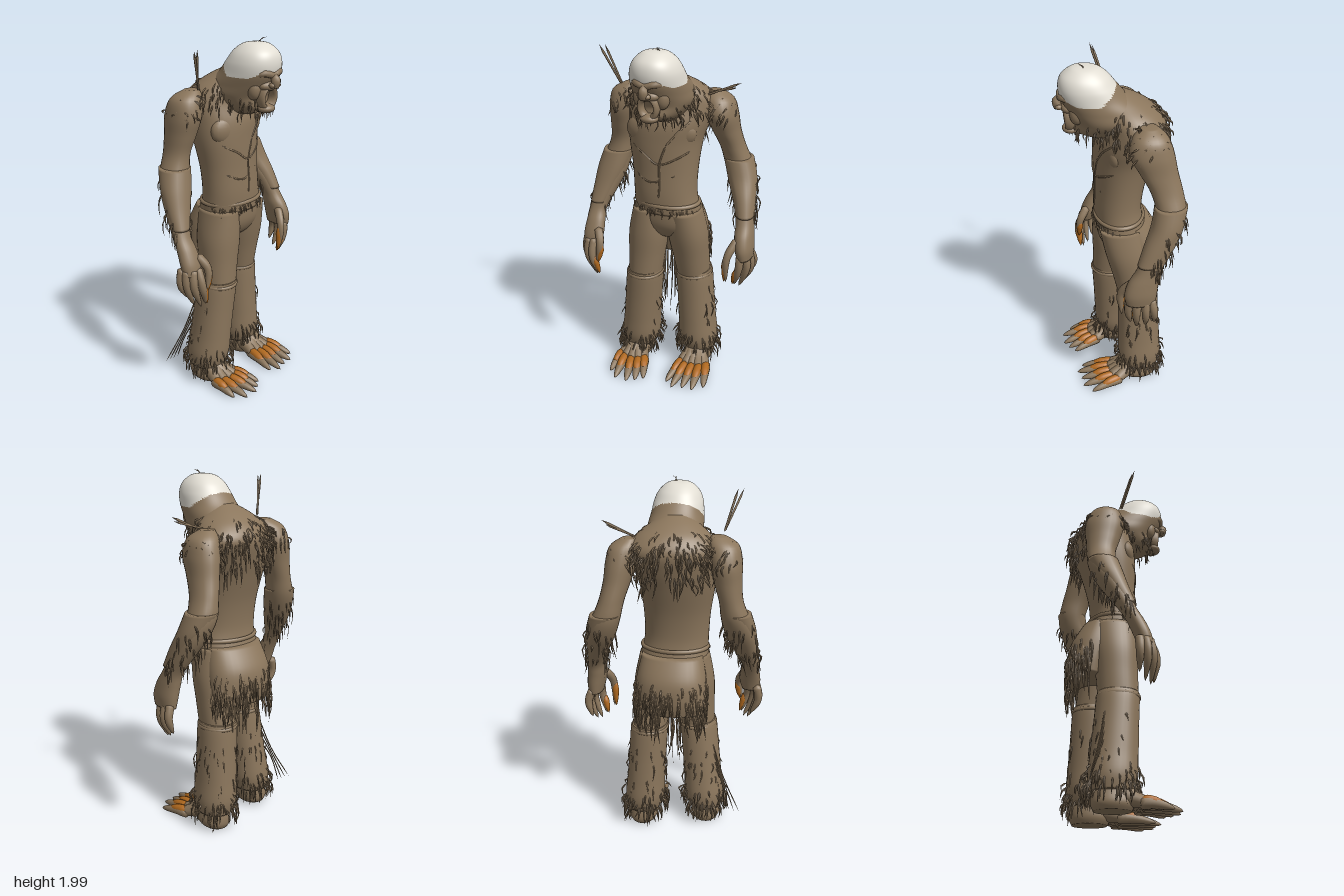
import * as THREE from 'three';
import { mergeGeometries } from 'three/addons/utils/BufferGeometryUtils.js';

const V = (x, y, z) => new THREE.Vector3(x, y, z);
const { PI } = Math, TAU = PI * 2;

// closed skin through rows of rings
function skin(rows, cols, point) {
  const pos = [], idx = [];
  for (let j = 0; j <= rows; j++) {
    for (let i = 0; i < cols; i++) {
      pos.push(...point(j, (i / cols) * TAU).toArray());
      const a = j * cols + i, c = j * cols + (i + 1) % cols;
      if (j < rows) idx.push(a, c, a + cols, c, c + cols, a + cols);
    }
  }
  const g = new THREE.BufferGeometry();
  g.setAttribute('position', new THREE.Float32BufferAttribute(pos, 3));
  g.setIndex(idx);
  g.computeVertexNormals();
  return g;
}

// point on a body form; sections run top to bottom as [x, y, z, rx, rz, twist]
function surface(S, t, a) {
  const f = t * (S.length - 1), k = Math.min(Math.floor(f), S.length - 2), u = f - k;
  const at = (i, c) => S[Math.max(0, Math.min(S.length - 1, i))][c] || 0;
  const [x, y, z, rx, rz, w] = [0, 1, 2, 3, 4, 5].map((c) => {
    const p0 = at(k - 1, c), p1 = at(k, c), p2 = at(k + 1, c), p3 = at(k + 2, c);
    return p1 + 0.5 * u * (p2 - p0 + u * (2 * p0 - 5 * p1 + 4 * p2 - p3 + u * (3 * (p1 - p2) + p3 - p0)));
  });
  const round = (v) => Math.sign(v) * Math.abs(v) ** 0.93;
  const px = Math.max(0, rx) * round(Math.cos(a)), pz = Math.max(0, rz) * round(Math.sin(a));
  return V(x + px * Math.cos(w) + pz * Math.sin(w), y, z - px * Math.sin(w) + pz * Math.cos(w));
}

// body form with closed ends
function loft(S, cols = 32, steps = 6) {
  const rows = (S.length - 1) * steps;
  return skin(rows + 2, cols, (j, a) => {
    if (j === 0) return V(...S[0].slice(0, 3));
    if (j === rows + 2) return V(...S.at(-1).slice(0, 3));
    return surface(S, (j - 1) / rows, a);
  });
}

// tapered tube through points
function limb(points, radii, cols = 10, rows = 12) {
  const curve = new THREE.CatmullRomCurve3(points.map((p) => V(...p)));
  const { normals, binormals } = curve.computeFrenetFrames(rows);
  return skin(rows, cols, (j, a) => {
    const f = (j / rows) * (radii.length - 1), k = Math.min(Math.floor(f), radii.length - 2);
    const r = j === 0 || j === rows ? 0 : THREE.MathUtils.lerp(radii[k], radii[k + 1], f - k);
    return curve.getPoint(j / rows).addScaledVector(normals[j], r * Math.cos(a)).addScaledVector(binormals[j], r * Math.sin(a));
  });
}

let seed = 7;
const rand = () => (seed = (seed * 16807) % 2147483647) / 2147483647;
const range = (a, b) => a + (b - a) * rand();

// drooping hair strands scattered over a body form
function fur(S, n, [t0, t1], [a0, a1], length, flare, r = 0.004) {
  return mergeGeometries(Array.from({ length: n }, () => {
    const p = surface(S, range(t0, t1), range(a0, a1)), core = S[Math.floor(S.length / 2)];
    const d = V(p.x - core[0], 0, p.z - core[2]).normalize();
    const len = length * range(0.4, 1.2), f = flare * range(0.3, 1.2), side = range(-0.01, 0.01);
    const m = p.clone().addScaledVector(d, f).add(V(side, -len * 0.4, 0));
    const e = p.clone().addScaledVector(d, f * 1.1).add(V(-side, -len, side));
    e.y = Math.max(e.y, 0.02);
    m.y = Math.max(m.y, 0.03);
    return limb([p.addScaledVector(d, -0.005).toArray(), m.toArray(), e.toArray()], [r, r, r * 0.3], 4, 4);
  }));
}

const TORSO = [[0, 1.83, 0.02, 0.06, 0.06, 0.1], [0, 1.785, -0.02, 0.13, 0.11, 0.2], [0, 1.73, -0.055, 0.2, 0.15, 0.22],
  [0, 1.66, -0.075, 0.24, 0.165, 0.22], [-0.01, 1.56, -0.05, 0.225, 0.17, 0.2], [-0.02, 1.45, -0.03, 0.205, 0.155, 0.2],
  [-0.015, 1.3, -0.01, 0.185, 0.135, 0.15], [-0.01, 1.16, 0, 0.18, 0.13, 0.1], [0, 1.05, -0.01, 0.19, 0.135, 0.05]];
const HEAD = [[0.01, 1.977, 0.18, 0.02, 0.02], [0.01, 1.967, 0.17, 0.065, 0.07], [0.01, 1.93, 0.167, 0.108, 0.12],
  [0.01, 1.88, 0.155, 0.132, 0.148], [0.01, 1.82, 0.125, 0.142, 0.17], [0.01, 1.76, 0.07, 0.15, 0.195],
  [0.01, 1.7, 0.03, 0.152, 0.2], [0.01, 1.64, 0.03, 0.115, 0.2], [0.01, 1.6, 0, 0.08, 0.15]];
const PELVIS = [[0, 1.1, -0.01, 0.183, 0.133], [0, 0.98, -0.03, 0.195, 0.145], [0, 0.9, -0.06, 0.15, 0.13], [0, 0.85, -0.09, 0.06, 0.08]];
const SKIRT = [[0, 1.07, -0.08, 0.17, 0.1], [0, 0.95, -0.11, 0.195, 0.135], [0, 0.84, -0.135, 0.2, 0.12], [0, 0.75, -0.14, 0.19, 0.1]];

// leg sections as [y, rx, rz], strung between hip, knee and ankle
const THIGH = [[1.06, 0.095, 0.125], [0.9, 0.113, 0.125], [0.75, 0.105, 0.115], [0.6, 0.095, 0.11]];
const GAITER = [[0.645, 0.1, 0.112], [0.6, 0.107, 0.117], [0.45, 0.108, 0.12], [0.3, 0.11, 0.125], [0.18, 0.115, 0.128], [0.1, 0.1, 0.11]];
const HEEL = [[0, 0.17, 0, 0.07, 0.08], [0, 0.1, 0, 0.08, 0.1], [0.005, 0.04, 0.005, 0.085, 0.11], [0.005, 0.005, 0.005, 0.07, 0.095]];
const between = (rings, [x0, z0], [x1, z1]) => rings.map(([y, rx, rz]) => {
  const k = (rings[0][0] - y) / (rings[0][0] - rings.at(-1)[0]);
  return [x0 + (x1 - x0) * k, y, z0 + (z1 - z0) * k, rx, rz];
});

// the right side steps forward, the left side is held back
const SIDES = {
  right: {
    arm: [[-0.24, 1.735, -0.05, 0.04, 0.04], [-0.27, 1.69, -0.06, 0.08, 0.085], [-0.286, 1.6, -0.07, 0.085, 0.11], [-0.3, 1.5, -0.08, 0.075, 0.095],
      [-0.32, 1.4, -0.09, 0.065, 0.08], [-0.345, 1.3, -0.08, 0.078, 0.08], [-0.37, 1.2, -0.045, 0.082, 0.075], [-0.395, 1.1, 0, 0.068, 0.06],
      [-0.42, 1, 0.05, 0.05, 0.045], [-0.42, 0.93, 0.09, 0.055, 0.045], [-0.42, 0.86, 0.12, 0.06, 0.045], [-0.425, 0.8, 0.135, 0.05, 0.04]],
    fingers: [[[-0.385, 0.9, 0.13], [-0.35, 0.82, 0.18], [-0.37, 0.7, 0.19]], [[-0.4, 0.84, 0.15], [-0.4, 0.74, 0.19], [-0.37, 0.62, 0.18]],
      [[-0.43, 0.84, 0.15], [-0.44, 0.74, 0.17], [-0.385, 0.6, 0.16]], [[-0.455, 0.84, 0.13], [-0.465, 0.74, 0.14], [-0.41, 0.61, 0.13]],
      [[-0.46, 0.84, 0.1], [-0.475, 0.75, 0.1], [-0.43, 0.65, 0.1]]],
    hip: [-0.1, 0], knee: [-0.135, 0.02], ankle: [-0.19, -0.02],
    toes: [[-0.255, 0.12, -0.255, 0.285], [-0.22, 0.14, -0.2, 0.335], [-0.175, 0.15, -0.125, 0.335], [-0.135, 0.14, -0.08, 0.305], [-0.11, 0.11, -0.04, 0.27]],
  },
  left: {
    arm: [[0.22, 1.725, -0.13, 0.04, 0.04], [0.248, 1.68, -0.13, 0.075, 0.09], [0.263, 1.6, -0.135, 0.083, 0.115], [0.28, 1.5, -0.17, 0.073, 0.1],
      [0.305, 1.4, -0.21, 0.068, 0.085], [0.335, 1.3, -0.23, 0.078, 0.08], [0.37, 1.2, -0.205, 0.078, 0.08], [0.405, 1.1, -0.155, 0.062, 0.075],
      [0.43, 1, -0.105, 0.05, 0.065], [0.44, 0.93, -0.075, 0.052, 0.08], [0.45, 0.86, -0.06, 0.05, 0.088], [0.455, 0.8, -0.06, 0.04, 0.08]],
    fingers: [[[0.42, 0.92, -0.03], [0.38, 0.82, 0.035], [0.375, 0.66, 0.03]], [[0.445, 0.83, -0.005], [0.44, 0.74, 0.005], [0.41, 0.63, -0.015]],
      [[0.46, 0.83, -0.045], [0.475, 0.74, -0.035], [0.43, 0.61, -0.045]], [[0.465, 0.83, -0.085], [0.485, 0.74, -0.085], [0.445, 0.63, -0.09]],
      [[0.46, 0.83, -0.115], [0.485, 0.75, -0.13], [0.46, 0.66, -0.135]]],
    hip: [0.1, -0.01], knee: [0.13, -0.1], ankle: [0.165, -0.115],
    toes: [[0.12, 0.04, 0.095, 0.24], [0.155, 0.06, 0.145, 0.275], [0.195, 0.06, 0.205, 0.255], [0.235, 0.05, 0.265, 0.25], [0.265, 0.02, 0.32, 0.2]],
  },
};

export function createModel() {
  const mat = (name, color) => new THREE.MeshStandardMaterial({ name, color });
  const hide = mat('brown hide', 0x8b765c), bone = mat('pale cap', 0xe2ded4), orange = mat('orange skin', 0xb0691f);
  const root = new THREE.Group();
  const add = (name, geo, m = hide, parent = root) => {
    const mesh = new THREE.Mesh(geo, m);
    mesh.name = name;
    parent.add(mesh);
  };
  const ball = (name, p, s) => add(name, new THREE.SphereGeometry(1, 20, 14).scale(...s).translate(...p));
  const hoop = (name, rx, ry, rz, p, parent) => add(name, new THREE.TorusGeometry(1, 0.07, 8, 48).rotateX(PI / 2).scale(rx, ry, rz).translate(...p), hide, parent);

  // head, with the pale cap as its own faces
  const head = loft(HEAD, 64, 10), pos = head.attributes.position, faces = [[], []];
  for (let i = 0, x = head.index.array; i < x.length; i += 3) {
    const tri = [...x.slice(i, i + 3)];
    const y = tri.reduce((s, k) => s + pos.getY(k) / 3, 0), z = tri.reduce((s, k) => s + pos.getZ(k) / 3, 0);
    faces[y > 1.808 + Math.max(0, z - 0.22) * 0.4 + Math.max(0, 0.1 - z) * 0.85 ? 1 : 0].push(...tri);
  }
  head.setIndex(faces.flat());
  head.addGroup(0, faces[0].length, 0);
  head.addGroup(faces[0].length, faces[1].length, 1);
  add('head', head, [hide, bone]);

  // open-mouthed face
  add('brow', limb([[-0.085, 1.815, 0.225], [-0.04, 1.835, 0.283], [0.01, 1.82, 0.295], [0.06, 1.835, 0.283], [0.105, 1.815, 0.225]], [0.012, 0.02, 0.016, 0.02, 0.012]));
  add('nose', limb([[0.01, 1.83, 0.28], [0.01, 1.795, 0.31], [0.01, 1.76, 0.3]], [0.014, 0.026, 0.024]));
  add('lips', new THREE.TorusGeometry(0.045, 0.015, 10, 28).scale(1, 1.25, 2).rotateX(0.1).translate(0.01, 1.705, 0.25));
  ball('upperLip', [0.01, 1.765, 0.255], [0.06, 0.03, 0.04]);
  ball('chin', [0.01, 1.645, 0.245], [0.05, 0.025, 0.045]);
  for (const s of [-1, 1]) {
    ball('cheek', [0.01 + s * 0.06, 1.75, 0.215], [0.04, 0.06, 0.04]);
    ball('nostril', [0.01 + s * 0.02, 1.772, 0.303], [0.016, 0.014, 0.018]);
    ball('pectoral', [s * 0.095 - 0.015, 1.52, 0.047 - s * 0.02], [0.1, 0.085, 0.05]);
  }
  add('beard', fur(HEAD, 60, [0.74, 0.92], [0, PI], 0.07, 0.015));
  for (const x of [0.02, 0.03, 0.045]) add('crownHair', limb([[x, 1.97, 0.17], [0.03, 1.985, 0.18], [x + 0.01, 1.999, 0.2]], [0.003, 0.002, 0.001], 4, 4));

  // torso and clothing seams
  add('torso', loft(TORSO, 40));
  const seam = (name, pts) => add(name, limb(pts.map(([t, a]) => surface(TORSO, t, a).toArray()), [0.005, 0.005], 6, 20));
  seam('placket', [[0.62, 1.45], [0.71, 1.57], [0.81, 1.55], [0.88, 1.57]]);
  seam('leftLapel', [[0.46, 0.95], [0.53, 1.2], [0.62, 1.45]]);
  seam('ribFold', [[0.63, 2.5], [0.67, 2], [0.71, 1.6], [0.68, 1.1], [0.65, 0.7]]);
  seam('waistFold', [[0.77, 2.4], [0.8, 1.8], [0.76, 1.1]]);
  hoop('belt', 0.184, 0.18, 0.136, [-0.002, 1.1, -0.008]);
  add('beltFringe', fur(TORSO, 40, [0.94, 0.96], [0.2, PI - 0.2], 0.05, 0.01));
  add('shoulderMane', fur(TORSO, 190, [0.16, 0.42], [0, TAU], 0.08, 0.035, 0.005));
  add('backMane', fur(TORSO, 90, [0.25, 0.58], [PI * 1.1, PI * 1.9], 0.11, 0.025, 0.005));

  // hips and shaggy rear skirt
  add('pelvis', loft(PELVIS));
  add('rearSkirt', loft(SKIRT));
  add('skirtFringe', fur(SKIRT, 130, [0.3, 1], [PI, TAU], 0.17, 0.012, 0.006));
  add('innerHairs', fur(SKIRT, 14, [0.8, 1], [1.35, 1.8], 0.4, 0.01));

  for (const [side, d] of Object.entries(SIDES)) {
    const arm = new THREE.Group(), leg = new THREE.Group(), out = Math.sign(d.hip[0]);
    arm.name = side + 'Arm';
    leg.name = side + 'Leg';
    root.add(arm, leg);

    // arm with hairy forearm sleeve, orange pads on the inner fingers
    add('armAndPalm', loft(d.arm, 24), hide, arm);
    const sleeve = d.arm.slice(5, 9).map(([x, y, z, a, b], i) => [x, y + 0.03, z, a + 0.006 - i * 0.003, b + 0.006 - i * 0.003]);
    add('sleeve', loft(sleeve, 24), hide, arm);
    add('sleeveFringe', fur(sleeve, 50, [0.15, 1], [PI * 0.9, TAU + 0.3], 0.12, 0.015), hide, arm);
    add('shoulderFur', fur(d.arm, 60, [0.04, 0.18], [0, TAU], 0.07, 0.025, 0.005), hide, arm);
    d.fingers.forEach((f, i) => {
      add(i ? 'finger' : 'thumb', limb(f, [0.025, 0.024, 0.02, 0.006]), hide, arm);
      const inward = ([x, y, z]) => [x - out * 0.01, y, z];
      if (i < 2) add('fingerPad', limb([f[1], f[1].map((v, k) => (v + f[2][k]) / 2), f[2]].map(inward), [0.012, 0.02, 0.015, 0.003]), orange, arm);
    });

    // leg with furred gaiter
    const gaiter = between(GAITER, d.knee, d.ankle), [kx, kz] = d.knee;
    add('thigh', loft(between(THIGH, d.hip, d.knee)), hide, leg);
    add('gaiter', loft(gaiter), hide, leg);
    hoop('gaiterRim', 0.103, 0.15, 0.114, [kx, 0.62, kz], leg);
    add('gaiterFur', fur(gaiter, 35, [0.25, 0.8], [PI * 0.8, PI * 2.2], 0.1, 0.008), hide, leg);
    add('ankleFringe', fur(gaiter, 110, [0.7, 1], [0, TAU], 0.1, 0.025, 0.005), hide, leg);

    // foot bones fanning into toes, orange on top of the knuckles only
    const [ax, az] = d.ankle;
    add('heel', loft(HEEL.map(([x, y, z, a, b]) => [ax + out * x, y, az + z, a, b]), 28), hide, leg);
    for (const [bx, bz, tx, tz] of d.toes) {
      const at = (k, y) => [bx + (tx - bx) * k, y, bz + (tz - bz) * k];
      add('instep', limb([[ax, 0.1, az + 0.02], [(ax + bx) / 2, 0.068, (az + bz) / 2 + 0.02], at(0.2, 0.038)], [0.05, 0.058, 0.04, 0.028]), hide, leg);
      add('toe', limb([at(-0.1, 0.036), at(0.3, 0.038), at(0.7, 0.026), at(1, 0.012)], [0.028, 0.031, 0.025, 0.018, 0.006]), hide, leg);
      add('orangeKnuckle', limb([at(-0.1, 0.052), at(0.3, 0.05), at(0.65, 0.036)], [0.016, 0.026, 0.024, 0.014]), orange, leg);
    }
  }

  // quills at the shoulders and long trailing strands
  for (const ends of [[[-0.26, 1.74, 0.03], [-0.35, 1.96, 0.1]], [[-0.26, 1.74, 0.02], [-0.32, 1.96, 0.09]],
    [[0.2, 1.71, -0.06], [0.39, 1.795, -0.06]], [[0.2, 1.72, -0.08], [0.37, 1.77, -0.05]]]) add('quill', limb(ends, [0.005, 0.007], 6, 6));
  for (let i = 0; i < 4; i++) {
    add('trailingStrand', limb([[-0.22, 0.56 - i * 0.05, -0.05], [-0.3, 0.33 - i * 0.02, -0.09], [-0.41 + i * 0.03, 0.12, -0.14]], [0.004, 0.003], 5, 8));
  }
  return root;
}
